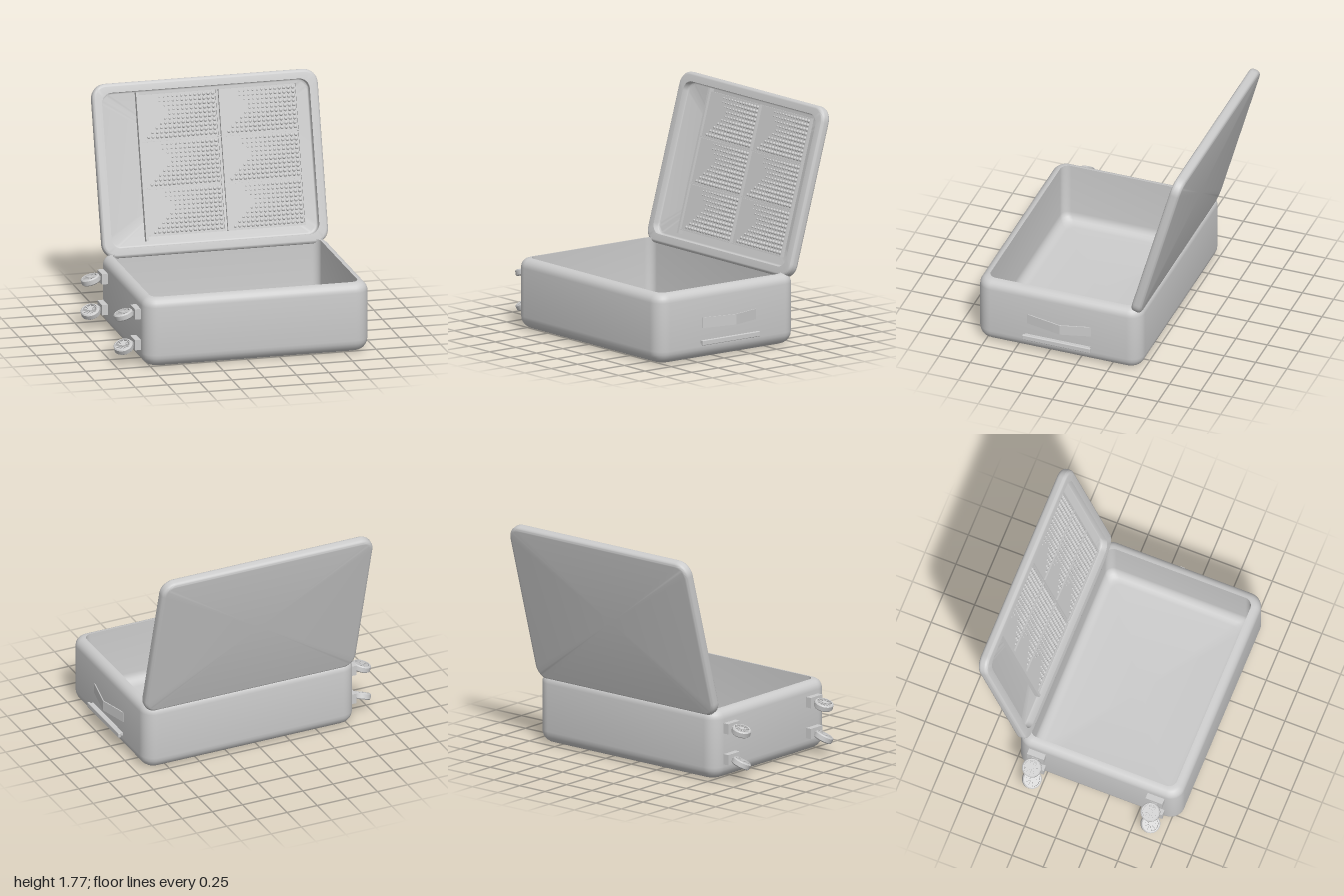
import * as THREE from 'three';
import { mergeGeometries, toCreasedNormals } from 'three/addons/utils/BufferGeometryUtils.js';
import { RoundedBoxGeometry } from 'three/addons/geometries/RoundedBoxGeometry.js';

const grey = new THREE.MeshStandardMaterial({ color: 0xcccccc, side: THREE.DoubleSide });

function add(parent, name, geometry, x = 0, y = 0, z = 0) {
  const mesh = new THREE.Mesh(geometry, grey);
  mesh.name = name;
  mesh.position.set(x, y, z);
  parent.add(mesh);
  return mesh;
}

const box = (w, h, d, x = 0, y = 0, z = 0) => new THREE.BoxGeometry(w, h, d).translate(x, y, z);

// Quarter round as [inset, height] points
function arc(cx, cy, r, from, to, steps = 6) {
  return Array.from({ length: steps + 1 }, (_, i) => {
    const a = from + (to - from) * i / steps;
    return [cx + r * Math.cos(a), cy + r * Math.sin(a)];
  });
}

// Rounded-rectangle loop, drawn in by an inset
function ring(w, d, radius, minRadius, inset, y) {
  const hx = w / 2 - inset, hz = d / 2 - inset, r = Math.max(radius - inset, minRadius);
  const pts = [];
  [[1, 1], [-1, 1], [-1, -1], [1, -1]].forEach(([sx, sz], q) => {
    for (let i = 0; i <= 8; i++) {
      const a = (q + i / 8) * Math.PI / 2;
      pts.push([sx * (hx - r) + r * Math.cos(a), y, sz * (hz - r) + r * Math.sin(a)]);
    }
  });
  return pts;
}

// Open tray: the wall profile runs from the outer floor, over the rim, to the inner floor
function tray(w, d, radius, minRadius, profile) {
  const loops = profile.map(([inset, y]) => ring(w, d, radius, minRadius, inset, y));
  const n = loops[0].length;
  const pos = loops.flat(2), index = [];
  for (let k = 0; k < loops.length - 1; k++) {
    for (let i = 0; i < n; i++) {
      const a = k * n + i, b = k * n + (i + 1) % n;
      index.push(a, a + n, b, b, a + n, b + n);
    }
  }
  // Close both floors with a fan
  const first = pos.length / 3, last = first + 1, base = (loops.length - 1) * n;
  pos.push(0, profile[0][1], 0, 0, profile.at(-1)[1], 0);
  for (let i = 0; i < n; i++) {
    const j = (i + 1) % n;
    index.push(first, i, j, last, base + j, base + i);
  }
  const g = new THREE.BufferGeometry();
  g.setAttribute('position', new THREE.Float32BufferAttribute(pos, 3));
  g.setIndex(index);
  return toCreasedNormals(g, 0.6);
}

// Spoked wheel lying in the xz plane
function wheelGeometry() {
  const R = 0.073, T = 0.05;
  const tyre = new THREE.LatheGeometry([
    [0.056, -T / 2], [R - 0.008, -T / 2], [R, -T / 2 + 0.008], [R, T / 2 - 0.008],
    [R - 0.008, T / 2], [0.056, T / 2], [0.056, -T / 2],
  ].map(p => new THREE.Vector2(...p)), 32);
  const parts = [tyre, new THREE.CylinderGeometry(0.018, 0.018, T, 20),
    new THREE.CylinderGeometry(0.058, 0.058, 0.018, 32)];
  for (let i = 0; i < 10; i++) {
    parts.push(box(0.045, 0.038, 0.008, 0.036, 0, 0).rotateY(i * Math.PI / 5));
  }
  return toCreasedNormals(mergeGeometries(parts), 0.6);
}

// Raised dots of one panel, leaving a plain notch at the left
function dotsGeometry(w, h) {
  const cols = 17, rows = 10, dots = [];
  for (let j = 0; j < rows; j++) {
    const v = (j + 0.5) / rows;
    const start = v < 0.58 ? v * 0.62 : 0.36 - (v - 0.58) * 0.4;
    for (let i = 0; i < cols; i++) {
      const u = (i + 0.5) / cols;
      if (u < start) continue;
      const size = THREE.MathUtils.clamp(0.55 + 0.9 * (u - start) + 0.4 * (0.6 - v), 0.45, 1);
      dots.push(new THREE.SphereGeometry(0.0145 * size, 9, 3, 0, Math.PI * 2, 0, Math.PI / 2)
        .rotateX(Math.PI / 2).translate((u - 0.5) * w, (v - 0.5) * h, 0));
    }
  }
  return mergeGeometries(dots);
}

export function createModel() {
  const model = new THREE.Group();
  model.name = 'openSuitcase';
  const PI = Math.PI;

  // Main tub
  add(model, 'caseBody', tray(1.75, 1.31, 0.11, 0.065, [
    ...arc(0.1, 0.1, 0.1, 1.5 * PI, PI),
    ...arc(0.07, 0.47, 0.07, PI, PI / 2),
    ...arc(0.15, 0.13, 0.08, PI, 1.5 * PI).map(([i, y]) => [i, y]),
  ]), 0.065, 0, 0.165);

  // Lid, leaning back from the rear edge
  const lid = new THREE.Group();
  lid.name = 'lid';
  lid.position.set(0.073, 1.13, -0.613);
  lid.rotation.x = -0.274;
  model.add(lid);
  add(lid, 'lidShell', tray(1.75, 1.31, 0.11, 0.08, [
    ...arc(0.03, -0.01, 0.03, 1.5 * PI, PI),
    ...arc(0.025, 0.015, 0.025, PI, PI / 2),
    [0.07, 0.04],
    ...arc(0.085, 0, 0.015, PI, 1.5 * PI, 4),
  ]).rotateX(PI / 2));

  // Dotted lining panels, two columns by three rows
  const lining = new THREE.Group();
  lining.name = 'lining';
  lining.position.x = -0.073;
  lid.add(lining);
  const pw = 0.595, ph = 0.345, pitch = 0.356;
  const dots = dotsGeometry(pw - 0.01, ph - 0.015);
  for (const x of [-0.142, 0.478]) {
    for (let r = 0; r < 3; r++) {
      const y = 0.022 + (r - 1) * pitch;
      add(lining, 'liningPanel', box(pw, ph, 0.024), x, y, -0.005);
      add(lining, 'panelDots', dots, x, y, 0.006);
      add(lining, 'panelLedge', box(pw + 0.005, 0.008, 0.034), x, y - ph / 2 - 0.002, 0.003);
    }
    add(lining, 'panelEdge', box(0.006, 1.06, 0.03), x + pw / 2 + 0.002, 0.022, 0.001);
  }
  add(lining, 'liningBar', box(0.02, 1.115, 0.042), -0.451, 0.014, 0.004);

  // Four wheels on the right-hand end
  const wheel = wheelGeometry();
  for (const z of [-0.32, 0.635]) {
    for (const [y, lean] of [[0.4, 0], [0.16, 0.35]]) {
      const caster = new THREE.Group();
      caster.name = 'caster';
      caster.position.set(0, y, z);
      model.add(caster);
      add(caster, 'casterMount', box(0.06, 0.08, 0.135), -0.826, 0, 0);
      add(caster, 'casterFork', box(0.05, 0.03, 0.05), -0.865, -0.003, 0);
      const w = add(caster, 'wheel', wheel, -0.926, -0.015, 0);
      w.rotation.set(lean, 0, 0.3);
      if (lean) w.position.y = -0.025;
    }
  }

  // Bent carry strap on the left-hand end
  const strapPts = [[0.942, -0.1], [0.99, 0.09], [1, 0.13], [0.99, 0.18], [0.942, 0.41]];
  const strap = new THREE.Shape([
    ...strapPts.map(([x, z]) => new THREE.Vector2(x, -z)),
    ...strapPts.slice().reverse().map(([x, z]) => new THREE.Vector2(x - 0.008, -z)),
  ]);
  add(model, 'carryStrap', new THREE.ExtrudeGeometry(strap, { depth: 0.08, bevelEnabled: false })
    .rotateX(-PI / 2), 0, 0.24, 0);

  // Side foot bar
  add(model, 'footBar', new RoundedBoxGeometry(0.022, 0.04, 0.545, 2, 0.006), 0.974, 0.135, 0.165);
  add(model, 'footBarBase', box(0.05, 0.022, 0.52), 0.948, 0.135, 0.165);
  return model;
}
